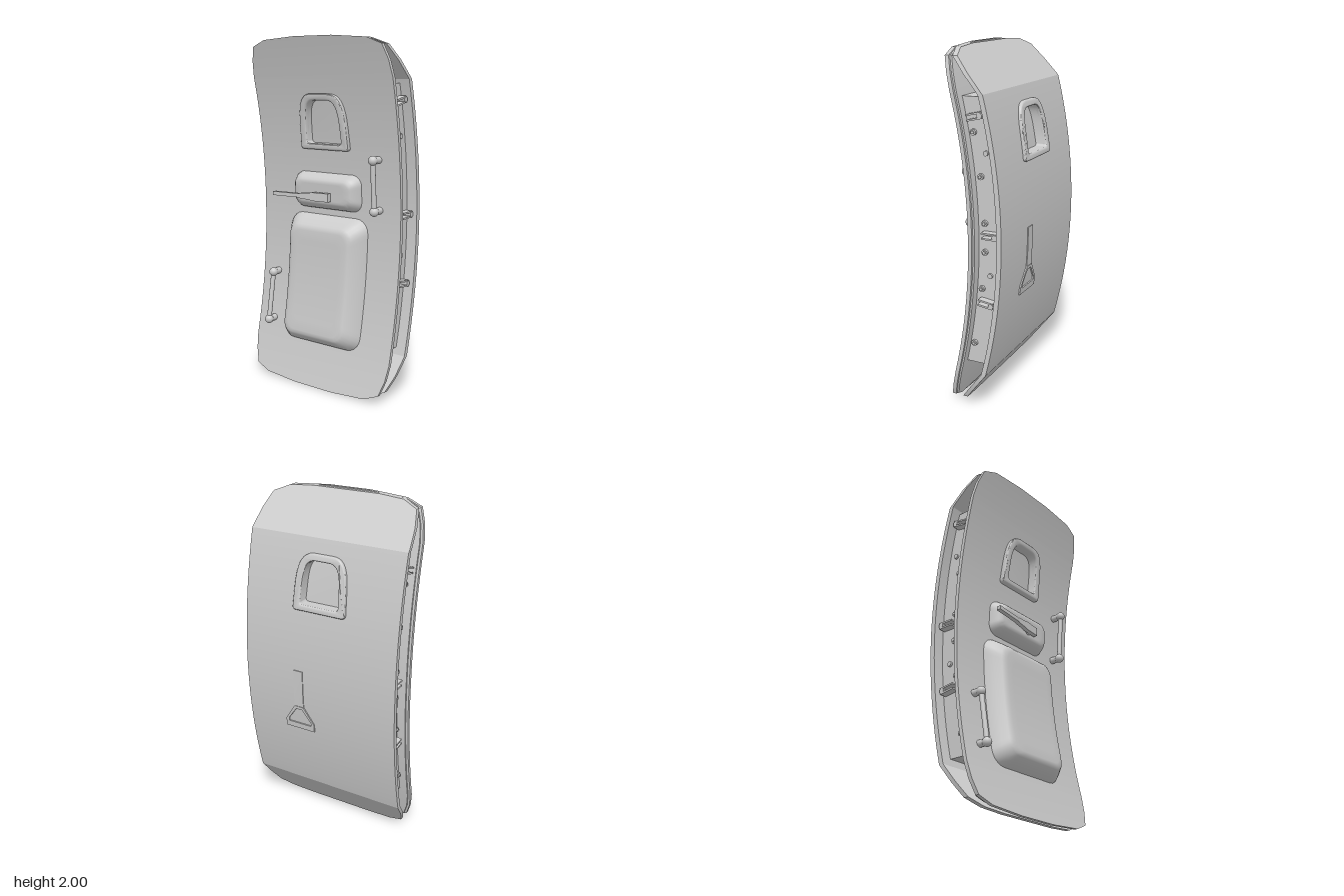
import * as THREE from 'three';
import { toCreasedNormals } from 'three/addons/utils/BufferGeometryUtils.js';

const grey = new THREE.MeshStandardMaterial({ color: 0xcccccc, side: THREE.DoubleSide });

// Barrel curve of the inner (front) and outer (back) faces
const front = (y) => 0.01 + 0.155 * (y - 1) ** 2;
const back = (y) => {
  const d = Math.abs(y - 1);
  if (d < 0.77) return -0.185 + 0.17 * d * d;
  return -0.084 + ((d - 0.77) / 0.23) * (y > 1 ? 0.206 : 0.176);
};

// Piecewise-linear lookup in [[t, value], ...]
const lookup = (table, t) => {
  for (let i = 1; i < table.length; i++) {
    const [a, va] = table[i - 1], [b, vb] = table[i];
    if (t <= b + 1e-9) return va + ((vb - va) * (t - a)) / (b - a);
  }
  return table[table.length - 1][1];
};
const halfWidth = (y) => lookup(
  [[0, 0.484], [0.78, 0.481], [0.87, 0.468], [0.95, 0.44], [0.985, 0.35], [1, 0.13]], Math.abs(y - 1));
const windowTable = [[1.4, 0.13], [1.55, 0.13], [1.63, 0.1], [1.66, 0.06]];

function mesh(name, geometry, parent) {
  const m = new THREE.Mesh(geometry, grey);
  m.name = name;
  parent.add(m);
  return m;
}

// Curved slab of horizontal strips, with an opening for the window
function slab(y0, y1, width, zFront, zBack) {
  const ys = [y0, y1, 0.015, 0.05, 0.13, 0.22, 0.23, 1.77, 1.78, 1.87, 1.95, 1.985,
    ...windowTable.map((r) => r[0])];
  for (let i = 0; i <= 28; i++) ys.push(0.24 + (i * 1.52) / 28);
  const rows = [...new Set(ys)].filter((y) => y >= y0 && y <= y1).sort((a, b) => a - b);
  const pos = [];
  const quad = (a, b, c, d) => pos.push(...a, ...b, ...c, ...a, ...c, ...d);
  for (let i = 1; i < rows.length; i++) {
    const a = rows[i - 1], b = rows[i], mid = (a + b) / 2;
    const fa = zFront(a), fb = zFront(b), ba = zBack(a), bb = zBack(b);
    const wa = width(a), wb = width(b);
    const open = mid > 1.4 && mid < 1.66;
    const ha = lookup(windowTable, a), hb = lookup(windowTable, b);
    const spans = open ? [[-wa, -ha, -wb, -hb], [ha, wa, hb, wb]] : [[-wa, wa, -wb, wb]];
    for (const [l, r, l2, r2] of spans) {
      quad([l, a, fa], [r, a, fa], [r2, b, fb], [l2, b, fb]);
      quad([r, a, ba], [l, a, ba], [l2, b, bb], [r2, b, bb]);
      quad([r, a, fa], [r, a, ba], [r2, b, bb], [r2, b, fb]);
      quad([l, a, ba], [l, a, fa], [l2, b, fb], [l2, b, bb]);
    }
    if (i === 1) quad([-wa, a, ba], [wa, a, ba], [wa, a, fa], [-wa, a, fa]);
    if (i === rows.length - 1) quad([-wb, b, fb], [wb, b, fb], [wb, b, bb], [-wb, b, bb]);
  }
  const g = new THREE.BufferGeometry();
  g.setAttribute('position', new THREE.Float32BufferAttribute(pos, 3));
  return toCreasedNormals(g, 0.3);
}

// Move every vertex along z by a rule
function bend(geometry, rule) {
  const p = geometry.attributes.position;
  for (let i = 0; i < p.count; i++) p.setZ(i, rule(p.getX(i), p.getY(i), p.getZ(i)));
  return toCreasedNormals(geometry, 0.5);
}

// Window outline: flat base, rounded top
function windowShape(w, y0, y1) {
  const h = y1 - y0, r = 0.02, s = new THREE.Shape();
  s.moveTo(-w + r, y0);
  s.lineTo(w - r, y0);
  s.quadraticCurveTo(w, y0, w, y0 + r);
  s.lineTo(w * 0.97, y0 + h * 0.42);
  s.bezierCurveTo(w * 0.94, y1 - h * 0.15, w * 0.76, y1, w * 0.34, y1);
  s.lineTo(-w * 0.34, y1);
  s.bezierCurveTo(-w * 0.76, y1, -w * 0.94, y1 - h * 0.15, -w * 0.97, y0 + h * 0.42);
  s.lineTo(-w, y0 + r);
  s.quadraticCurveTo(-w, y0, -w + r, y0);
  return s;
}

function windowRing(outer, inner, depth, bevel) {
  const s = windowShape(...outer);
  s.holes.push(windowShape(...inner));
  return new THREE.ExtrudeGeometry(s, {
    depth, curveSegments: 10, bevelEnabled: bevel > 0,
    bevelSize: bevel, bevelThickness: bevel, bevelOffset: -bevel, bevelSegments: 3,
  });
}

// Padded cover swelling out of the inner panel; levels are [inset, height]
function cover(w, h, cy, r, levels) {
  const s = new THREE.Shape();
  s.absarc(w - r, h - r, r, 0, Math.PI / 2);
  s.absarc(r - w, h - r, r, Math.PI / 2, Math.PI);
  s.absarc(r - w, r - h, r, Math.PI, Math.PI * 1.5);
  s.absarc(w - r, r - h, r, Math.PI * 1.5, Math.PI * 2);
  s.closePath();
  const n = 96, outline = s.getSpacedPoints(n).slice(0, n);
  const [inset, top] = levels[levels.length - 1];
  const rings = levels.map(([d, z]) => [(w - d) / w, (h - d) / h, z]);
  for (const k of [0.8, 0.6, 0.4, 0.2, 0]) rings.push([((w - inset) / w) * k, ((h - inset) / h) * k, top]);
  const pos = [], index = [];
  rings.forEach(([sx, sy, z], j) => outline.forEach((p, i) => {
    const y = cy + p.y * sy;
    pos.push(p.x * sx, y, front(y) + z);
    if (j === 0) return;
    const i2 = (i + 1) % n, a = (j - 1) * n, b = j * n;
    index.push(a + i, a + i2, b + i2);
    if (j < rings.length - 1) index.push(a + i, b + i2, b + i);
  }));
  const g = new THREE.BufferGeometry();
  g.setAttribute('position', new THREE.Float32BufferAttribute(pos, 3));
  g.setIndex(index);
  return toCreasedNormals(g, 0.7);
}

// Round bar between two points
function rod(name, a, b, r, parent) {
  const from = new THREE.Vector3(...a), dir = new THREE.Vector3(...b).sub(from);
  const m = mesh(name, new THREE.CylinderGeometry(r, r, dir.length(), 14), parent);
  m.position.copy(from).addScaledVector(dir, 0.5);
  m.quaternion.setFromUnitVectors(new THREE.Vector3(0, 1, 0), dir.normalize());
  return m;
}

// Bar between two knobs on short posts
function grabHandle(x, y0, y1, offset) {
  const g = new THREE.Group();
  g.name = 'grabHandle';
  const ends = [y0, y1].map((y) => [x, y, front(y) + offset]);
  rod('grabBar', ends[0], ends[1], 0.014, g);
  for (const e of ends) {
    rod('grabPost', [x, e[1], front(e[1]) - 0.01], e, 0.02, g);
    mesh('grabKnob', new THREE.SphereGeometry(0.026, 16, 12), g).position.set(...e);
  }
  return g;
}

// Stops and guide arms along one side of the frame
function sideFittings(side) {
  const g = new THREE.Group();
  g.name = side > 0 ? 'leftFittings' : 'rightFittings';
  const stops = [[1.57, 0], [1.34, -0.04], [1.09, -0.06], [0.93, -0.06], [0.72, -0.04], [0.39, 0.01]];
  for (const [y, z] of stops) {
    rod('stopBolt', [side * 0.41, y, z], [side * 0.434, y, z], 0.017, g);
    rod('stopTip', [side * 0.43, y, z], [side * 0.442, y, z], 0.009, g);
  }
  for (const [y, z] of [[1.465, -0.07], [0.8, -0.09]]) {
    rod('smallBolt', [side * 0.41, y, z], [side * 0.432, y, z], 0.014, g);
  }
  for (const [y, z] of [[1.655, -0.02], [1.03, -0.1], [0.645, -0.075]]) {
    const arm = new THREE.Group();
    arm.name = 'guideArm';
    for (const s of [-1, 1]) {
      mesh('armPlate', new THREE.BoxGeometry(0.05, 0.009, 0.09), arm).position.set(0, s * 0.014, 0);
    }
    rod('guideRoller', [-0.025, 0, -0.035], [0.028, 0, -0.035], 0.015, arm);
    arm.position.set(side * 0.437, y, z);
    arm.rotation.x = Math.atan(0.36 * (y - 1));
    g.add(arm);
  }
  return g;
}

export function createModel() {
  const door = new THREE.Group();
  door.name = 'door';

  // Panels, the seal behind the inner one and the frame between them
  mesh('innerPanel', slab(0, 2, halfWidth, front, (y) => front(y) - 0.022), door);
  mesh('panelSeal', slab(0.03, 1.97, (y) => halfWidth(y) - 0.014,
    (y) => front(y) - 0.02, (y) => front(y) - 0.032), door);
  mesh('outerSkin', slab(0.005, 1.995, halfWidth, (y) => back(y) + 0.028, back), door);
  mesh('frame', slab(0.27, 1.75, () => 0.42, (y) => front(y) - 0.015, (y) => back(y) + 0.01), door);
  for (const side of [1, -1]) door.add(sideFittings(side));

  // Window: trims on both faces, liner and a pane for each face
  const outer = [0.165, 1.375, 1.69], inner = [0.12, 1.41, 1.653];
  mesh('windowTrimInner', bend(windowRing(outer, inner, 0.02, 0.01), (x, y, z) => front(y) - 0.002 + z), door);
  mesh('windowTrimOuter', bend(windowRing(outer, inner, 0.016, 0.008), (x, y, z) => back(y) - 0.01 + z), door);
  mesh('windowLiner', bend(windowRing([0.135, 1.395, 1.67], inner, 1, 0),
    (x, y, z) => THREE.MathUtils.lerp(back(y) - 0.005, front(y) + 0.015, z)), door);
  const pane = (rule) => bend(new THREE.ExtrudeGeometry(windowShape(0.128, 1.4, 1.66),
    { depth: 0.01, bevelEnabled: false }), rule);
  mesh('innerPane', pane((x, y, z) => front(y) - 0.04 + z), door);
  mesh('outerPane', pane((x, y, z) => back(y) + 0.05 + z), door);

  // Padded covers on the inner panel
  mesh('lowerCover', cover(0.275, 0.378, 0.622, 0.08,
    [[0, -0.01], [0.008, 0.012], [0.03, 0.048], [0.056, 0.086], [0.07, 0.097], [0.088, 0.101]]), door);
  mesh('upperCover', cover(0.232, 0.108, 1.137, 0.06,
    [[0, -0.01], [0.008, 0.018], [0.025, 0.05], [0.038, 0.064], [0.05, 0.07]]), door);

  // Operating lever: slim arm and a block at the pivot
  const lever = new THREE.Shape([[-0.3, -0.011], [-0.12, -0.011], [-0.11, -0.016], [-0.05, -0.019], [-0.04, -0.024],
    [0.07, -0.024], [0.07, 0.024], [-0.04, 0.024], [-0.05, 0.019], [-0.11, 0.016], [-0.12, 0.011],
    [-0.3, 0.011]].map(([x, y]) => new THREE.Vector2(x, 1.115 + y)));
  mesh('lever', bend(new THREE.ExtrudeGeometry(lever, { depth: 0.026, bevelEnabled: false }),
    (x, y, z) => 0.092 - 0.1 * (x - 0.07) + z), door);
  rod('leverPivot', [0.03, 1.115, 0.06], [0.03, 1.115, 0.105], 0.022, door);

  door.add(grabHandle(0.35, 1.06, 1.34, 0.058), grabHandle(-0.365, 0.335, 0.62, 0.052));

  // Outside handle: stem and flared grip surround
  const flat = (pts) => new THREE.Shape(pts.map(([x, y]) => new THREE.Vector2(0.13 + x, y)));
  const raise = (shape, h) => bend(new THREE.ExtrudeGeometry(shape, { depth: h + 0.006, bevelEnabled: false }),
    (x, y, z) => back(y) - h + z);
  const grip = flat([[-0.095, 0.63], [0.095, 0.63], [0.095, 0.68], [0.03, 0.78], [-0.03, 0.78], [-0.095, 0.68]]);
  grip.holes.push(flat([[-0.075, 0.665], [0.075, 0.665], [0.075, 0.685], [0.02, 0.762], [-0.02, 0.762], [-0.075, 0.685]]));
  mesh('outerGrip', raise(grip, 0.008), door);
  mesh('outerStem', raise(flat([[-0.03, 0.77], [0.03, 0.77], [0.03, 0.89], [0.03, 1.01],
    [-0.03, 1.01], [-0.03, 0.89]]), 0.005), door);
  return door;
}
